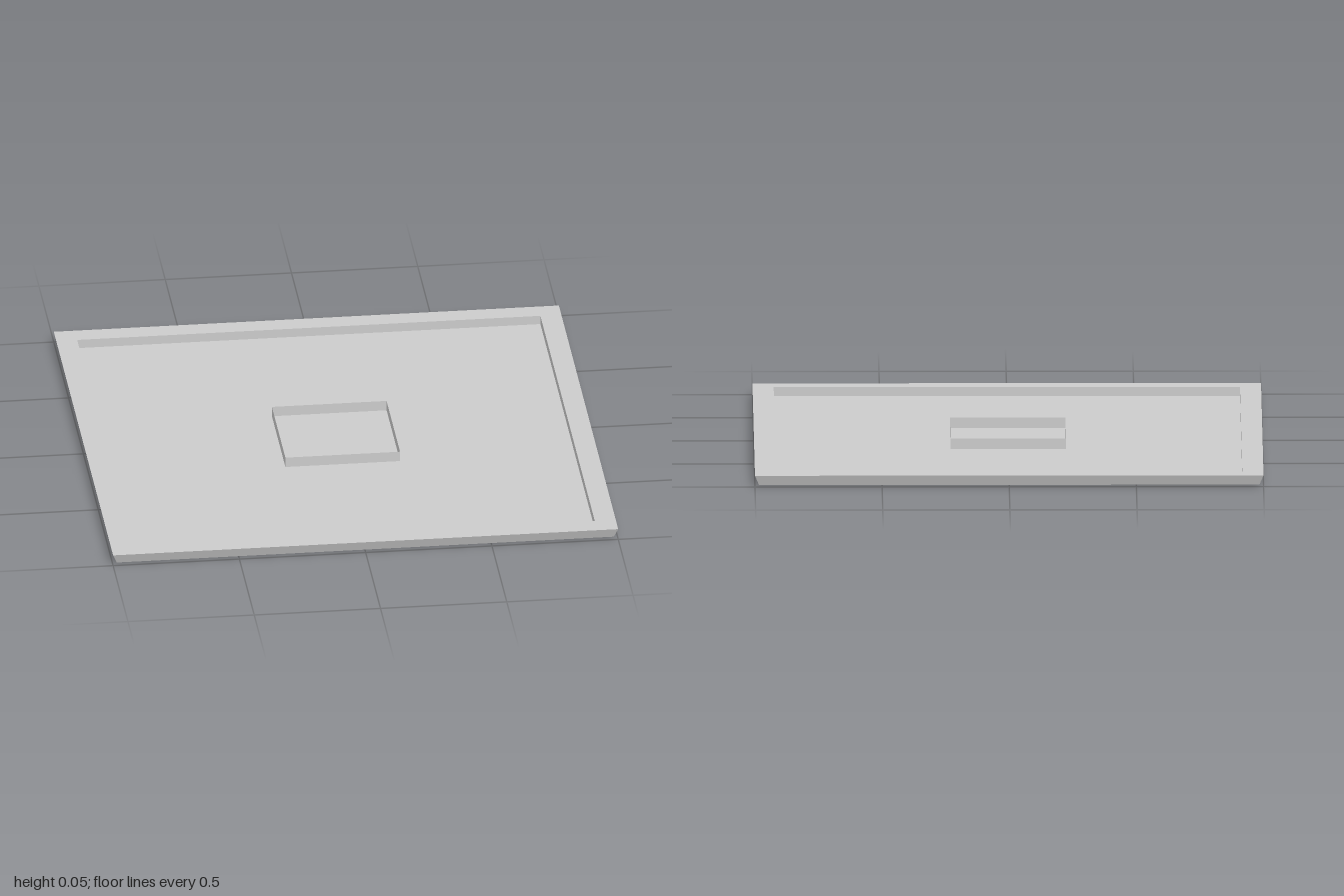
import * as THREE from 'three';

// Square solid or shell: a four-sided lathe of [half width, height] points
function squareLathe(name, profile, side) {
  const points = profile.map(([half, y]) => new THREE.Vector2(half * Math.SQRT2, y));
  const geometry = new THREE.LatheGeometry(points, 4, Math.PI / 4);
  const material = new THREE.MeshStandardMaterial({ color: 0xcccccc, flatShading: true, side });
  const mesh = new THREE.Mesh(geometry, material);
  mesh.name = name;
  return mesh;
}

export function createModel() {
  const group = new THREE.Group();
  group.name = 'squareTray';

  // Shallow tray: sloping outer edge, flat rim, straight inner wall, thin floor
  group.add(squareLathe('tray', [
    [0, 0.005], [0.984, 0.005], [1, 0.045],
    [0.917, 0.045], [0.917, 0.009], [0, 0.009],
  ], THREE.FrontSide));

  // Thin-walled open box set through the middle of the floor
  group.add(squareLathe('centreBox', [
    [0, 0], [0.227, 0], [0.227, 0.05],
  ], THREE.DoubleSide));

  return group;
}
